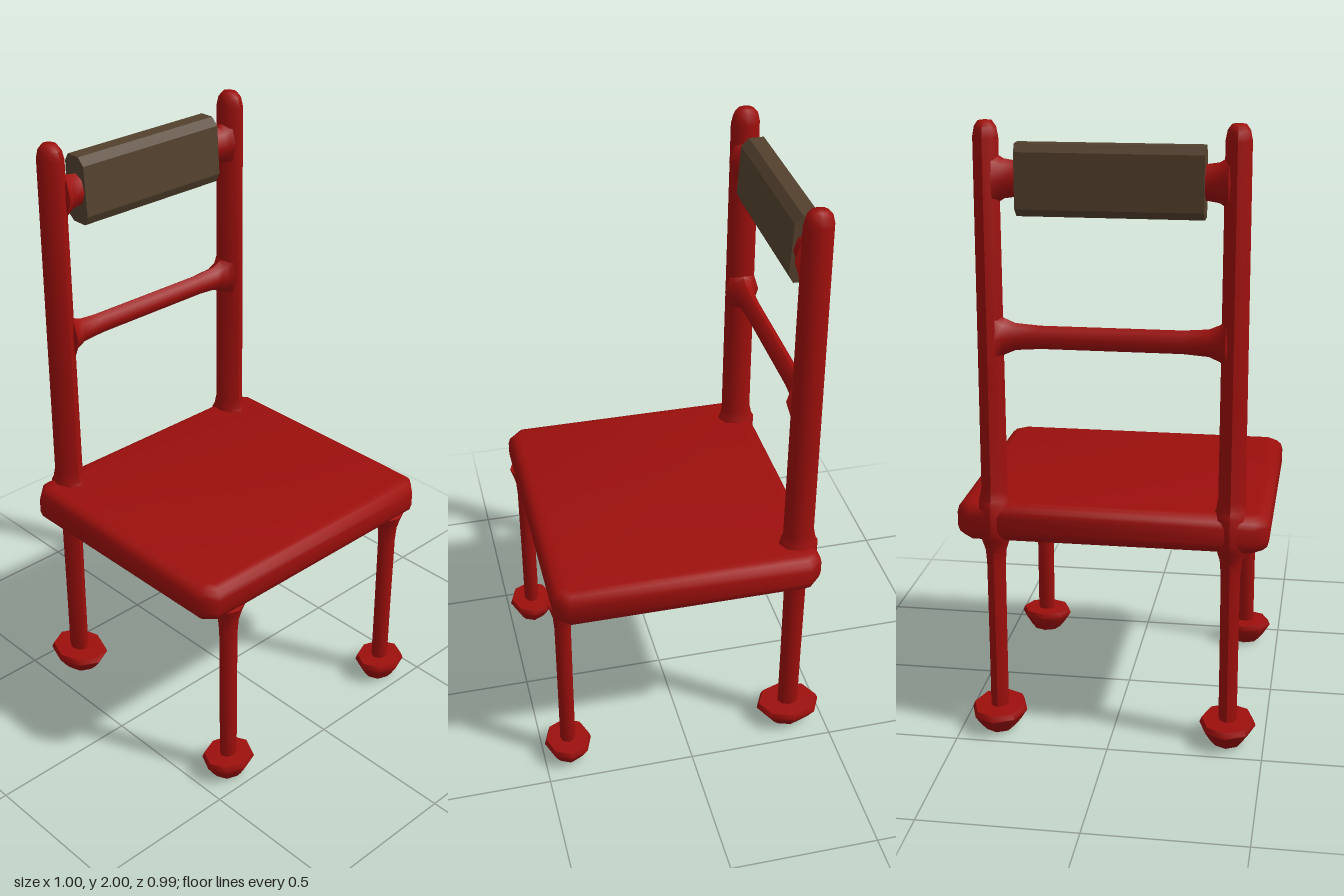
import * as THREE from 'three';
import { toCreasedNormals } from 'three/addons/utils/BufferGeometryUtils.js';

const red = new THREE.MeshStandardMaterial({ color: 0x9c0f0c });
const brown = new THREE.MeshStandardMaterial({ color: 0x54412e });

const vec = (list) => list.map(([x, y]) => new THREE.Vector2(x, y));

function part(name, geometry, material, crease = 0.9) {
  const mesh = new THREE.Mesh(toCreasedNormals(geometry, crease), material);
  mesh.name = name;
  return mesh;
}

// eight-sided turned bar from [radius, height] pairs, stretched in z
const turned = (profile, depth) => new THREE.LatheGeometry(vec(profile), 8).scale(1, 1, depth);

// foot and leg, shared by all four corners
const legProfile = [
  [0, 0], [0.05, 0], [0.07, 0.025], [0.092, 0.06], [0.085, 0.078], [0.03, 0.08],
  [0.03, 0.3], [0.031, 0.58], [0.035, 0.63], [0.046, 0.665], [0.056, 0.69],
];

// back leg carries on above the seat as a round-topped post
const postProfile = [
  [0.056, 0.79], [0.049, 0.805], [0.043, 0.84], [0.042, 1.2], [0.04, 1.95],
  [0.034, 1.98], [0.022, 1.997], [0, 2.0],
];

// horizontal bar along x, mirrored about its middle: [radius, x] pairs
function rail(name, half, y) {
  const profile = [
    ...half.map(([r, x]) => [r, -x]),
    ...half.slice().reverse(),
  ];
  const mesh = part(name, turned(profile, 0.75).rotateZ(-Math.PI / 2), red);
  mesh.position.set(0, y, -0.38);
  return mesh;
}

function makeSeat() {
  const w = 0.46, d = 0.407, r = 0.022, b = 0.04;
  const shape = new THREE.Shape(vec([
    [-w + r, -d], [w - r, -d], [w, -d + r], [w, d - r],
    [w - r, d], [-w + r, d], [-w, d - r], [-w, -d + r],
  ]));
  const geometry = new THREE.ExtrudeGeometry(shape, {
    depth: 0.126 - 2 * b, bevelThickness: b, bevelSize: b, bevelSegments: 3,
  });
  geometry.rotateX(-Math.PI / 2).translate(0, 0.67 + b, 0.0075);
  return part('seat', geometry, red);
}

function makePad() {
  // cross-section as [-z, y]
  const shape = new THREE.Shape(vec([
    [0.415, 1.935], [0.365, 1.935], [0.34, 1.91], [0.33, 1.745],
    [0.345, 1.715], [0.4, 1.715], [0.43, 1.74], [0.43, 1.91],
  ]));
  const geometry = new THREE.ExtrudeGeometry(shape, { depth: 0.57, bevelEnabled: false });
  geometry.rotateY(Math.PI / 2).translate(-0.285, 0, 0);
  return part('headPad', geometry, brown, 0.3);
}

export function createModel() {
  const model = new THREE.Group();
  model.name = 'chair';
  model.add(makeSeat(), makePad());

  for (const [side, sx] of [['left', 1], ['right', -1]]) {
    const front = part(`${side}FrontLeg`, turned([...legProfile, [0, 0.7]], 0.88), red);
    front.position.set(sx * 0.38, 0, 0.415);
    const back = part(`${side}BackLegAndPost`, turned([...legProfile, ...postProfile], 1.23), red);
    back.position.set(sx * 0.38, 0, -0.38);
    model.add(front, back);
  }

  // lower rail flares where it meets the posts; upper one carries the pad
  model.add(
    rail('middleRail', [[0, 0.37], [0.08, 0.355], [0.058, 0.335], [0.043, 0.3], [0.037, 0.22]], 1.337),
    rail('padRail', [[0, 0.37], [0.078, 0.355], [0.06, 0.325], [0.053, 0.28]], 1.825),
  );
  return model;
}
